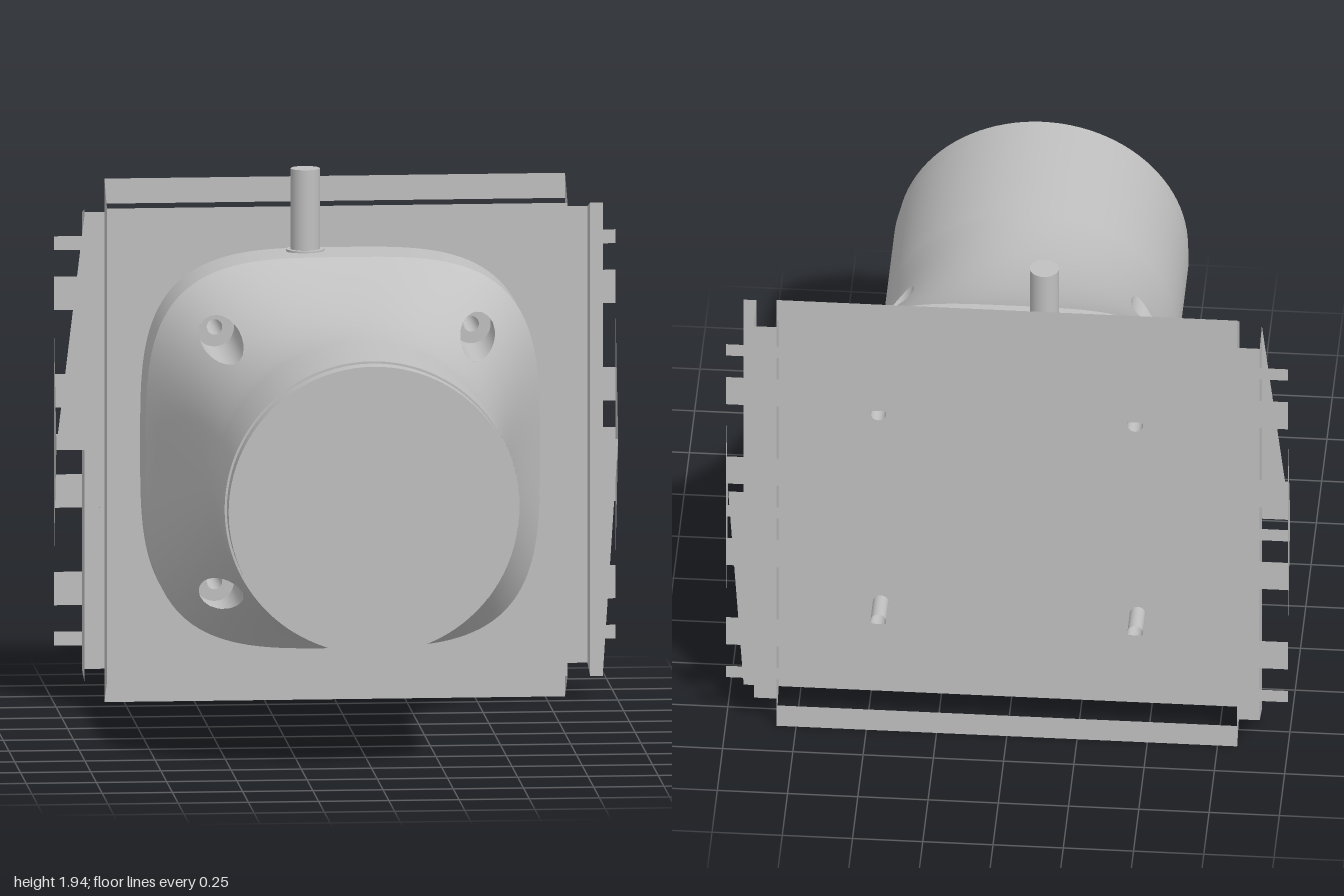
import * as THREE from 'three';

const WELL = 0.457, WELL_R = 0.07, PLATE_Z = -0.735, BACK_Z = -0.85;

// Flared housing: round at the front, rounded square at the back
const ramp = z => THREE.MathUtils.clamp((0.3 - z) / 0.8, 0, 1);
const half = z => 0.525 + 0.177 * Math.pow(ramp(z), 2.4);
const power = z => 2 + 1.5 * Math.pow(ramp(z), 1.5);
const size = (x, y, n) => Math.pow(Math.abs(x) ** n + Math.abs(y) ** n, 1 / n);

// Depth at which the flare passes through (x, y)
function flareZ(x, y) {
  let a = -0.5, b = 0.3;
  for (let i = 0; i < 30; i++) {
    const m = (a + b) / 2;
    if (size(x, y, power(m)) < half(m)) a = m; else b = m;
  }
  return a;
}

// Skin through the given depths, with the screw wells cut out
function skin(depths, cutWells) {
  const N = 192, pos = [], index = [], cut = [];
  for (const z of depths) {
    for (let i = 0; i <= N; i++) {
      const t = i / N * Math.PI * 2, c = Math.cos(t), s = Math.sin(t);
      const r = half(z) / size(c, s, power(z));
      let x = r * c, y = r * s, zz = z;
      const wx = WELL * Math.sign(x), wy = WELL * Math.sign(y);
      const d = Math.hypot(x - wx, y - wy);
      const inside = cutWells && d < WELL_R && d > 1e-6;
      if (inside) {
        x = wx + (x - wx) * WELL_R / d;
        y = wy + (y - wy) * WELL_R / d;
        zz = flareZ(x, y);
      }
      cut.push(inside);
      pos.push(x, y, zz);
    }
  }
  for (let j = 0; j < depths.length - 1; j++) {
    for (let i = 0; i < N; i++) {
      const a = j * (N + 1) + i, b = a + 1, c = a + N + 1, d = c + 1;
      if (cut[a] && cut[b] && cut[c] && cut[d]) continue;
      index.push(a, c, b, b, c, d);
    }
  }
  return mesh3(pos, index);
}

function mesh3(pos, index) {
  const g = new THREE.BufferGeometry();
  g.setAttribute('position', new THREE.Float32BufferAttribute(pos, 3));
  g.setIndex(index);
  g.computeVertexNormals();
  return g;
}

// Flat convex polygon from its corners
function panel(...pts) {
  const index = [];
  for (let i = 1; i < pts.length - 1; i++) index.push(0, i, i + 1);
  return mesh3(pts.flat(), index);
}

const strip = (x0, x1, y0, y1, z) => panel([x0, y0, z], [x1, y0, z], [x1, y1, z], [x0, y1, z]);

// Well wall rising from its floor to the flare
function wellWall(floorZ) {
  const pos = [], index = [], N = 40;
  for (let i = 0; i <= N; i++) {
    const t = i / N * Math.PI * 2;
    const x = WELL_R * Math.cos(t), y = WELL_R * Math.sin(t);
    pos.push(x, y, floorZ, x, y, flareZ(WELL + x, WELL + y));
    if (i < N) index.push(2 * i, 2 * i + 1, 2 * i + 2, 2 * i + 1, 2 * i + 3, 2 * i + 2);
  }
  return mesh3(pos, index);
}

export function createModel() {
  const root = new THREE.Group();
  const body = new THREE.Group();
  body.name = 'housingAssembly';
  body.position.y = 0.945;
  root.add(body);

  const grey = new THREE.MeshStandardMaterial({ color: 0xc0c0c0, side: THREE.DoubleSide });
  grey.name = 'grey';
  const add = (name, geometry, parent = body) => {
    const m = new THREE.Mesh(geometry, grey);
    m.name = name;
    parent.add(m);
    return m;
  };

  // Housing skin
  const depths = [0.775, 0.6, 0.45];
  for (let i = 0; i <= 64; i++) depths.push(0.3 - 0.8 * i / 64);
  add('flaredHousing', skin(depths, true));
  add('housingBase', skin([-0.5, PLATE_Z], false));

  // Front collar and cap
  add('frontStep', new THREE.RingGeometry(0.51, 0.525, 96)).position.z = 0.775;
  const collar = add('frontCollar', new THREE.CylinderGeometry(0.517, 0.517, 0.08, 96));
  collar.rotation.x = Math.PI / 2;
  collar.position.z = 0.81;

  // Four screw wells with hollow bolts
  for (const sx of [-1, 1]) {
    for (const sy of [-1, 1]) {
      const well = new THREE.Group();
      well.name = 'screwWell';
      body.add(well);
      // Quarter turns keep the winding of each copy
      well.rotation.z = Math.atan2(sy, sx) - Math.PI / 4;
      const inner = new THREE.Group();
      inner.position.set(WELL, WELL, 0);
      well.add(inner);
      add('wellWall', wellWall(-0.5), inner);
      add('wellFloor', new THREE.RingGeometry(0.028, WELL_R, 32), inner).position.z = -0.5;
      const bolt = add('hollowBolt', new THREE.CylinderGeometry(0.028, 0.028, 0.35, 20, 1, true), inner);
      bolt.rotation.x = Math.PI / 2;
      bolt.position.z = -0.675;
    }
  }

  // Top pipe with its seat
  add('topPipe', new THREE.CylinderGeometry(0.052, 0.052, 0.31, 32)).position.set(-0.12, 0.842, -0.667);
  add('pipeSeat', new THREE.CylinderGeometry(0.068, 0.068, 0.008, 32)).position.set(-0.12, 0.704, -0.667);

  // Mounting plate with bolt holes
  const plate = new THREE.Shape([[-0.82, -0.85], [0.82, -0.85], [0.82, 0.85], [-0.82, 0.85]]
    .map(p => new THREE.Vector2(...p)));
  for (const sx of [-1, 1]) {
    for (const sy of [-1, 1]) {
      plate.holes.push(new THREE.Path().absarc(sx * WELL, sy * WELL, 0.028, 0, Math.PI * 2, true));
    }
  }
  add('mountingPlate', new THREE.ShapeGeometry(plate, 10)).position.z = PLATE_Z;

  // Top and bottom rims at the back
  add('topRim', strip(-0.82, 0.82, 0.85, 0.94, BACK_Z));
  add('bottomRim', strip(-0.82, 0.82, -0.94, -0.85, BACK_Z));

  // Side walls and end gussets
  for (const s of [-1, 1]) {
    const wall = (x, front, back) => panel(
      [x, -front, PLATE_Z], [x, -back, BACK_Z], [x, back, BACK_Z], [x, front, PLATE_Z]);
    add('innerSideWall', wall(s * 0.82, 0.85, 0.94));
    add('outerSideWall', wall(s * 0.9, 0.85, 0.82));
    add('endGusset', panel([s, 0, PLATE_Z], [s, -0.45, BACK_Z], [s, 0.45, BACK_Z]));
  }

  // Front edge flanges
  add('rightFlange', panel([-0.9, 0.83, PLATE_Z], [-1, 0, PLATE_Z], [-1, -0.015, PLATE_Z], [-0.9, -0.015, PLATE_Z]));
  add('leftFlange', strip(0.9, 0.945, -0.85, 0.85, PLATE_Z));
  add('leftFlangeTip', panel([0.945, -0.85, PLATE_Z], [1, 0, PLATE_Z], [0.945, 0, PLATE_Z]));

  // Back slats, and short tabs filling the rows between them
  const slats = [[-0.71, 0.025], [-0.53, 0.06], [-0.18, 0.06], [0, 0.025],
    [0.18, 0.06], [0.53, 0.06], [0.71, 0.025]];
  let low = -0.82;
  for (const [y, h] of [...slats, [0.82, 0]]) {
    if (h) add('backSlat', strip(-1, 1, y - h, y + h, BACK_Z));
    add('rightTab', strip(-0.9, -0.82, low, y - h, BACK_Z));
    add('leftTab', strip(0.82, 0.9, low, y - h, BACK_Z));
    low = y + h;
  }
  return root;
}
